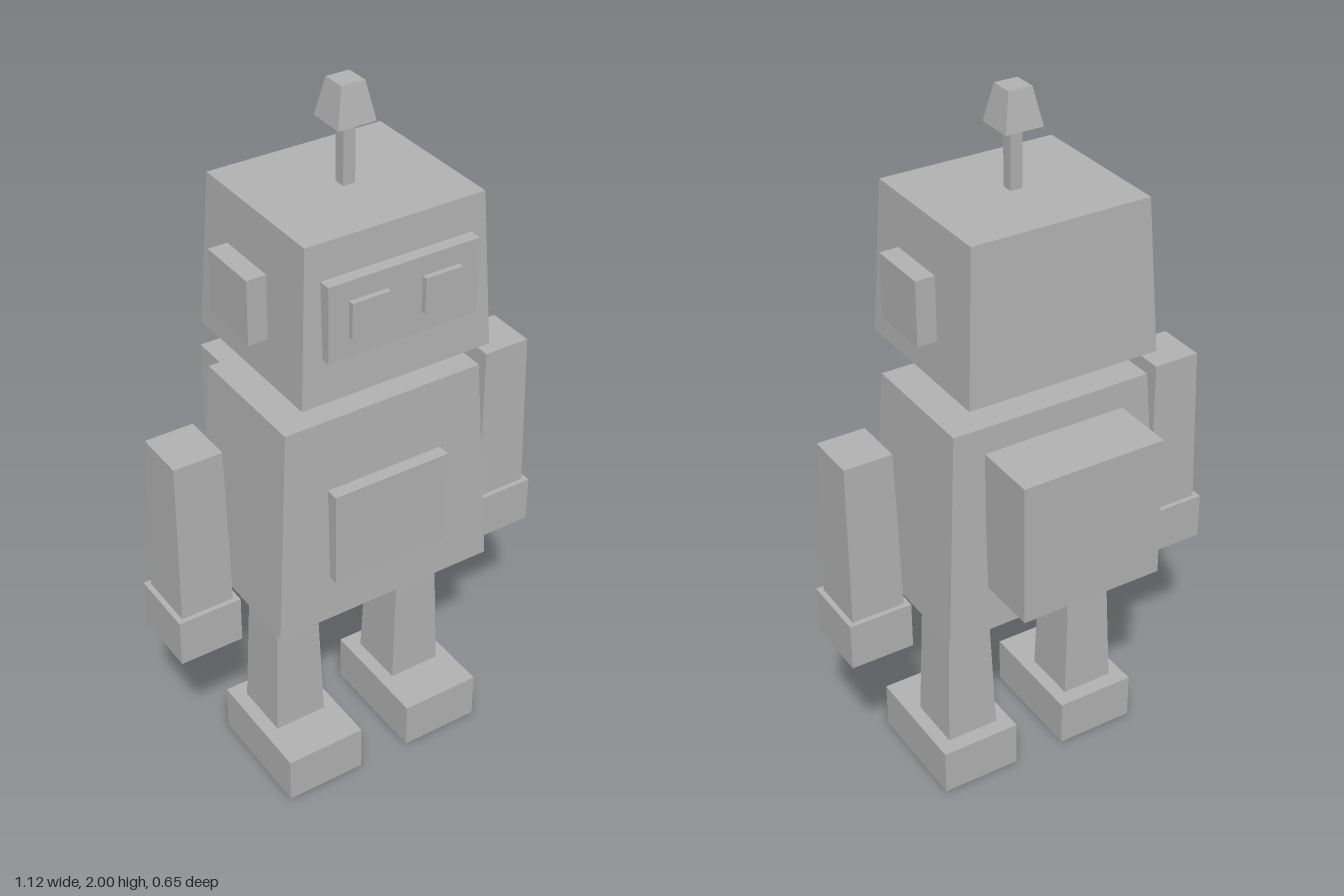
import * as THREE from 'three';

const MID_Z = 0.052; // depth of the robot's main axis

export function createModel() {
  const robot = new THREE.Group();
  robot.name = 'robot';
  const grey = new THREE.MeshStandardMaterial({ color: 0xb2b2b2 });
  grey.name = 'grey';

  // Box between two heights, optionally narrowing to topW x topD
  function block(name, [x, z], [y0, y1], [w, d], [topW, topD] = [w, d]) {
    const height = y1 - y0;
    const geometry = new THREE.BoxGeometry(w, height, d);
    const p = geometry.attributes.position;
    for (let i = 0; i < p.count; i++) {
      if (p.getY(i) > 0) {
        p.setX(i, (Math.sign(p.getX(i)) * topW) / 2);
        p.setZ(i, (Math.sign(p.getZ(i)) * topD) / 2);
      }
    }
    geometry.computeVertexNormals();
    const mesh = new THREE.Mesh(geometry, grey);
    mesh.name = name;
    mesh.position.set(x, y0 + height / 2, z);
    robot.add(mesh);
  }

  // Torso with chest panel and backpack
  block('torso', [0, MID_Z], [0.594, 1.21], [0.656, 0.412], [0.58, 0.368]);
  block('chestPanel', [0, 0.255], [0.727, 1.003], [0.344, 0.05]);
  block('backpack', [0, -0.234], [0.73, 1.14], [0.414, 0.184]);

  // Neck, head and face plate
  block('neck', [0, MID_Z + 0.005], [1.21, 1.31], [0.156, 0.148]);
  block('head', [0, MID_Z], [1.31, 1.735], [0.55, 0.478], [0.504, 0.44]);
  block('facePlate', [0, 0.288], [1.432, 1.639], [0.426, 0.044]);

  // Antenna
  block('antennaStem', [0, 0.055], [1.735, 1.9], [0.034, 0.033]);
  block('antennaTip', [0, 0.053], [1.9, 2], [0.106, 0.106], [0.066, 0.066]);

  // Mirrored parts
  for (const [side, s] of [['left', 1], ['right', -1]]) {
    block(side + 'Eye', [s * 0.103, 0.315], [1.488, 1.586], [0.106, 0.02]);
    block(side + 'Ear', [s * 0.302, MID_Z], [1.432, 1.61], [0.054, 0.178]);
    block(side + 'Arm', [s * 0.47, MID_Z], [0.676, 1.14], [0.15, 0.166], [0.136, 0.146]);
    block(side + 'Hand', [s * 0.47, MID_Z], [0.54, 0.676], [0.18, 0.194]);
    block(side + 'Hip', [s * 0.194, MID_Z], [0.536, 0.594], [0.192, 0.2]);
    block(side + 'Leg', [s * 0.194, MID_Z], [0.138, 0.536], [0.154, 0.166], [0.126, 0.146]);
    block(side + 'Foot', [s * 0.194, 0.095], [0, 0.138], [0.234, 0.344]);
  }
  return robot;
}
